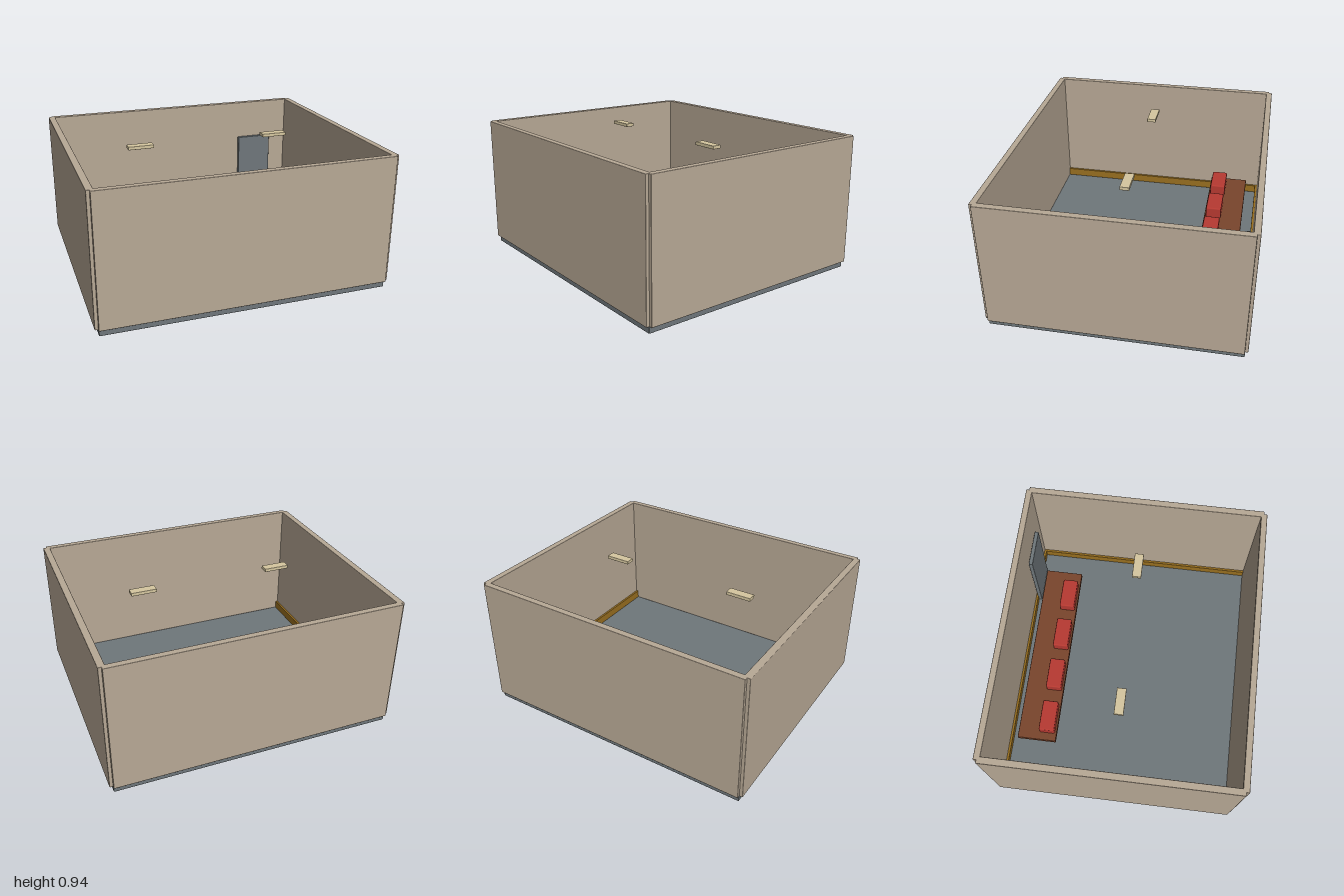
import * as THREE from 'three';
import { RoundedBoxGeometry } from 'three/addons/geometries/RoundedBoxGeometry.js';

const material = (color) => new THREE.MeshStandardMaterial({ color });

export function createModel() {
  const room = new THREE.Group();
  room.name = 'room';

  const wallPaint = material(0xb8a996);
  const slate = material(0x6f777b);
  const trimWood = material(0x9a7020);
  const counterWood = material(0x7a452c);
  const red = material(0xb83a32);
  const lampCream = material(0xd6c7a0);

  // Box from its minimum and maximum corners, with slightly eased edges
  function box(name, mat, [x0, y0, z0], [x1, y1, z1], bevel = 0.004) {
    const geometry = new RoundedBoxGeometry(x1 - x0, y1 - y0, z1 - z0, 1, bevel);
    const mesh = new THREE.Mesh(geometry, mat);
    mesh.position.set((x0 + x1) / 2, (y0 + y1) / 2, (z0 + z1) / 2);
    mesh.name = name;
    room.add(mesh);
    return mesh;
  }

  // Floor slab
  box('floor', slate, [-0.972, 0, -0.835], [0.972, 0.045, 0.835]);

  // Four walls, overlapping at the corners
  const top = 0.935;
  box('frontWall', wallPaint, [-0.974, 0.045, 0.812], [0.974, top, 0.855]);
  box('backWall', wallPaint, [-0.974, 0.045, -0.855], [0.974, top, -0.812]);
  box('leftWall', wallPaint, [0.95, 0.045, -0.834], [0.996, top, 0.834]);
  box('rightWall', wallPaint, [-0.996, 0.045, -0.834], [-0.95, top, 0.834]);

  // Skirting along the back and both sides
  box('backSkirting', trimWood, [-0.95, 0.045, -0.814], [0.95, 0.105, -0.796], 0.002);
  box('leftSkirting', trimWood, [0.934, 0.045, -0.814], [0.952, 0.105, 0.814], 0.002);
  box('rightSkirting', trimWood, [-0.952, 0.045, -0.814], [-0.934, 0.105, 0.814], 0.002);

  // Door against the back wall
  box('door', slate, [0.53, 0.045, -0.802], [0.803, 0.65, -0.773]);

  // Counter top with a row of four red blocks
  box('counter', counterWood, [-0.667, 0.27, -0.722], [0.663, 0.311, -0.45]);
  for (let i = 0; i < 4; i++) {
    const x = -0.505 + i * 0.32;
    box('counterBlock', red, [x - 0.109, 0.311, -0.571], [x + 0.109, 0.395, -0.462], 0.01);
  }

  // Pair of hanging ceiling lamps
  for (const x of [-0.487, 0.487]) {
    box('ceilingLamp', lampCream, [x - 0.088, 0.884, -0.031], [x + 0.088, 0.907, 0.031], 0.002);
  }

  return room;
}
